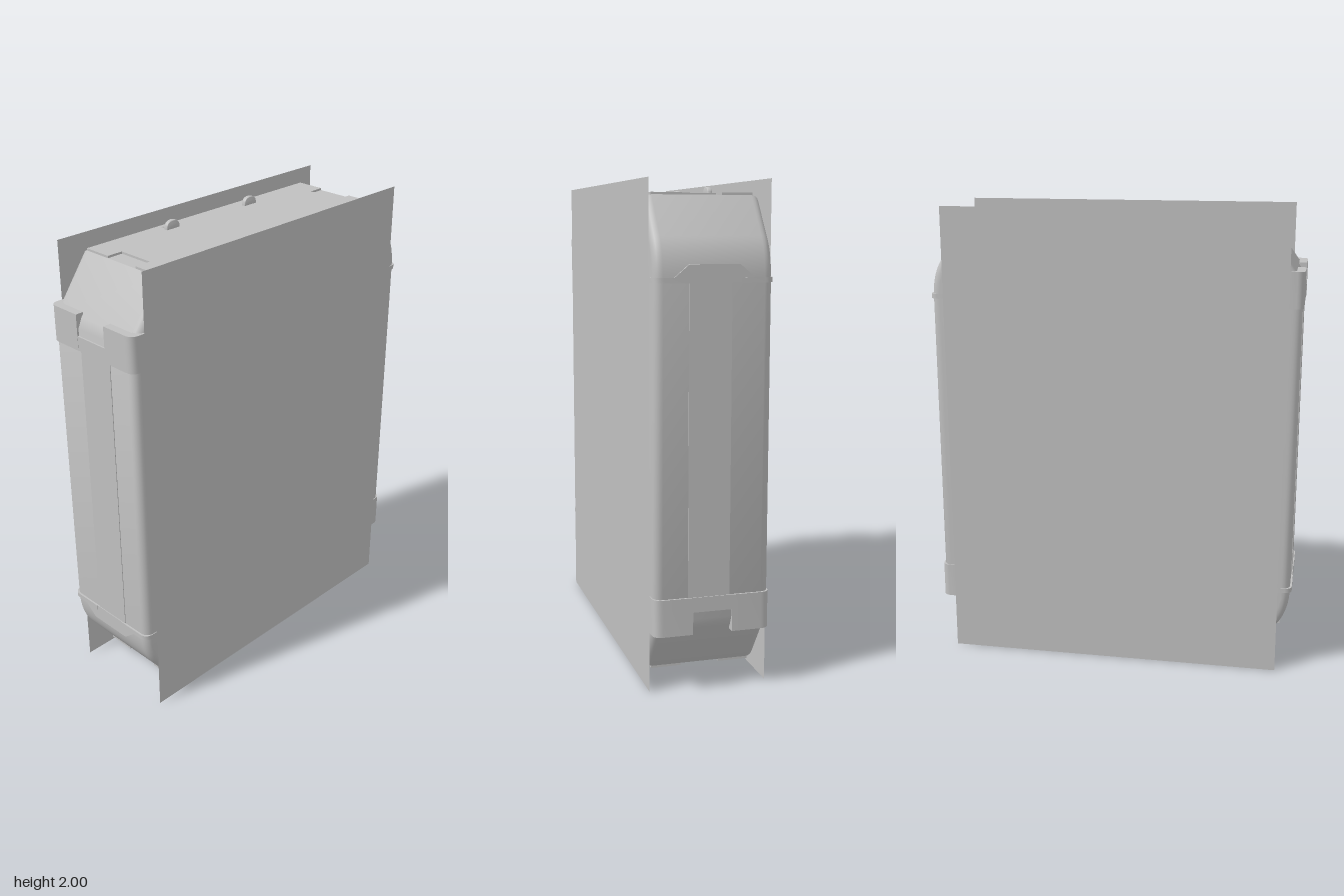
import * as THREE from 'three';
import { toCreasedNormals } from 'three/addons/utils/BufferGeometryUtils.js';

const grey = new THREE.MeshStandardMaterial({ color: 0xc0c0c0, side: THREE.DoubleSide });
grey.name = 'plain grey';

function add(parent, name, geometry) {
  const mesh = new THREE.Mesh(geometry, grey);
  mesh.name = name;
  parent.add(mesh);
  return mesh;
}

function polygon(points) {
  return new THREE.Shape(points.map(([x, y]) => new THREE.Vector2(x, y)));
}

function extrude(shape, depth, bevel = 0) {
  const geometry = new THREE.ExtrudeGeometry(shape, {
    depth: depth - 2 * bevel, bevelEnabled: bevel > 0, bevelSize: bevel, bevelThickness: bevel,
    bevelOffset: -bevel, bevelSegments: 5, curveSegments: 8,
  });
  return toCreasedNormals(geometry, 0.5);
}

// Case with two flat and two rounded corner slopes, all edges softened
function caseGeometry() {
  const s = new THREE.Shape();
  const y = (v) => v - 1;
  s.moveTo(0.62, y(0.06));
  s.lineTo(0.765, y(0.26));
  s.lineTo(0.782, y(0.3));
  s.lineTo(0.782, y(1.62));
  s.quadraticCurveTo(0.782, y(1.72), 0.735, y(1.785));
  s.lineTo(0.62, y(1.94));
  s.lineTo(-0.62, y(1.94));
  s.lineTo(-0.765, y(1.74));
  s.lineTo(-0.782, y(1.7));
  s.lineTo(-0.782, y(0.38));
  s.quadraticCurveTo(-0.782, y(0.28), -0.735, y(0.215));
  s.lineTo(-0.62, y(0.06));
  const geometry = extrude(s, 0.472, 0.035);
  geometry.translate(0, 0, -0.201);
  return geometry;
}

// Band that wraps one vertical edge of the case
function edgeWrap(y0, y1, zSide) {
  const s = new THREE.Shape();
  s.moveTo(0.72, 0.2);
  s.lineTo(0.72, 0.239);
  s.lineTo(0.75, 0.239);
  s.quadraticCurveTo(0.79, 0.239, 0.79, 0.2);
  s.lineTo(0.79, 0.08);
  s.lineTo(0.755, 0.08);
  s.lineTo(0.755, 0.2);
  s.closePath();
  const geometry = extrude(s, y1 - y0);
  // shape y becomes z, depth becomes height
  geometry.rotateX(zSide > 0 ? Math.PI / 2 : -Math.PI / 2);
  geometry.translate(0, zSide > 0 ? y1 : y0, 0);
  return geometry;
}

// Thin plate lying on the +x side, drawn in z and y
function sidePlate(points, x0, x1) {
  const geometry = extrude(polygon(points.map(([z, y]) => [-z, y])), x1 - x0);
  geometry.rotateY(Math.PI / 2);
  geometry.translate(x0, 0, 0);
  return geometry;
}

// Fittings for the +x side and the top; turned half round z for the other half
function createHalf() {
  const half = new THREE.Group();
  half.name = 'halfFittings';

  // Stepped flap with a central notch above the lower flat slope
  for (const z of [-1, 1]) {
    add(half, 'stepFlap', edgeWrap(-0.76, -0.61, z));
    add(half, 'cornerCollar', edgeWrap(0.61, 0.63, z));
  }
  add(half, 'stepFlapCentre',
    sidePlate([[-0.1, -0.67], [0.14, -0.67], [0.14, -0.61], [-0.1, -0.61]], 0.765, 0.789));

  // Raised tongue of the collar on the rounded corner
  add(half, 'collarTongue',
    sidePlate([[-0.18, 0.61], [0.18, 0.61], [0.16, 0.63], [0.1, 0.68], [-0.1, 0.68], [-0.16, 0.63]], 0.765, 0.788));

  // Shallow rib along the side
  add(half, 'sideRib',
    sidePlate([[-0.07, -0.61], [0.1, -0.61], [0.1, 0.61], [-0.07, 0.61]], 0.776, 0.785));

  // End panel, notched at both ends
  const panel = extrude(polygon([
    [-0.62, -0.205], [0.62, -0.205], [0.62, -0.08], [0.55, -0.08], [0.55, 0.08], [0.62, 0.08],
    [0.62, 0.205], [-0.62, 0.205], [-0.62, 0.08], [-0.55, 0.08], [-0.55, -0.08], [-0.62, -0.08],
  ]), 0.012);
  panel.rotateX(-Math.PI / 2);
  panel.translate(0, 0.937, 0);
  add(half, 'endPanel', panel);

  // Small hooks with a wedge behind, and edge nubs
  for (const side of [-1, 1]) {
    const tab = new THREE.Shape();
    tab.moveTo(-0.035, 0);
    tab.lineTo(-0.035, 0.012);
    tab.quadraticCurveTo(-0.03, 0.037, 0, 0.037);
    tab.quadraticCurveTo(0.03, 0.037, 0.035, 0.012);
    tab.lineTo(0.035, 0);
    tab.closePath();
    const hook = add(half, 'hook', extrude(tab, 0.02, 0.004));
    hook.position.set(side * 0.225, 0.947, -0.156);

    const wedge = add(half, 'hookWedge', sidePlate([[-0.22, 0.94], [-0.15, 0.94], [-0.15, 0.962]], 0, 0.02));
    wedge.position.x = side * 0.24 - 0.01;

    for (const z of [-1, 1]) {
      const nub = add(half, 'edgeNub', new THREE.BoxGeometry(0.03, 0.02, 0.012));
      nub.position.set(side * 0.47, 0.905, z * 0.234);
    }
  }
  return half;
}

export function createModel() {
  const model = new THREE.Group();
  model.name = 'flatCase';

  const body = new THREE.Group();
  body.name = 'body';
  body.position.y = 1;
  model.add(body);
  add(body, 'case', caseGeometry());

  const upper = createHalf();
  const lower = createHalf();
  lower.rotation.z = Math.PI;
  body.add(upper, lower);

  // Large flat sheets at front and back
  for (const side of [1, -1]) {
    const sheet = add(model, side > 0 ? 'frontSheet' : 'backSheet', new THREE.PlaneGeometry(1.46, 2));
    sheet.position.set(0, 1, side * 0.242);
    if (side < 0) sheet.rotation.y = Math.PI;
  }
  return model;
}
